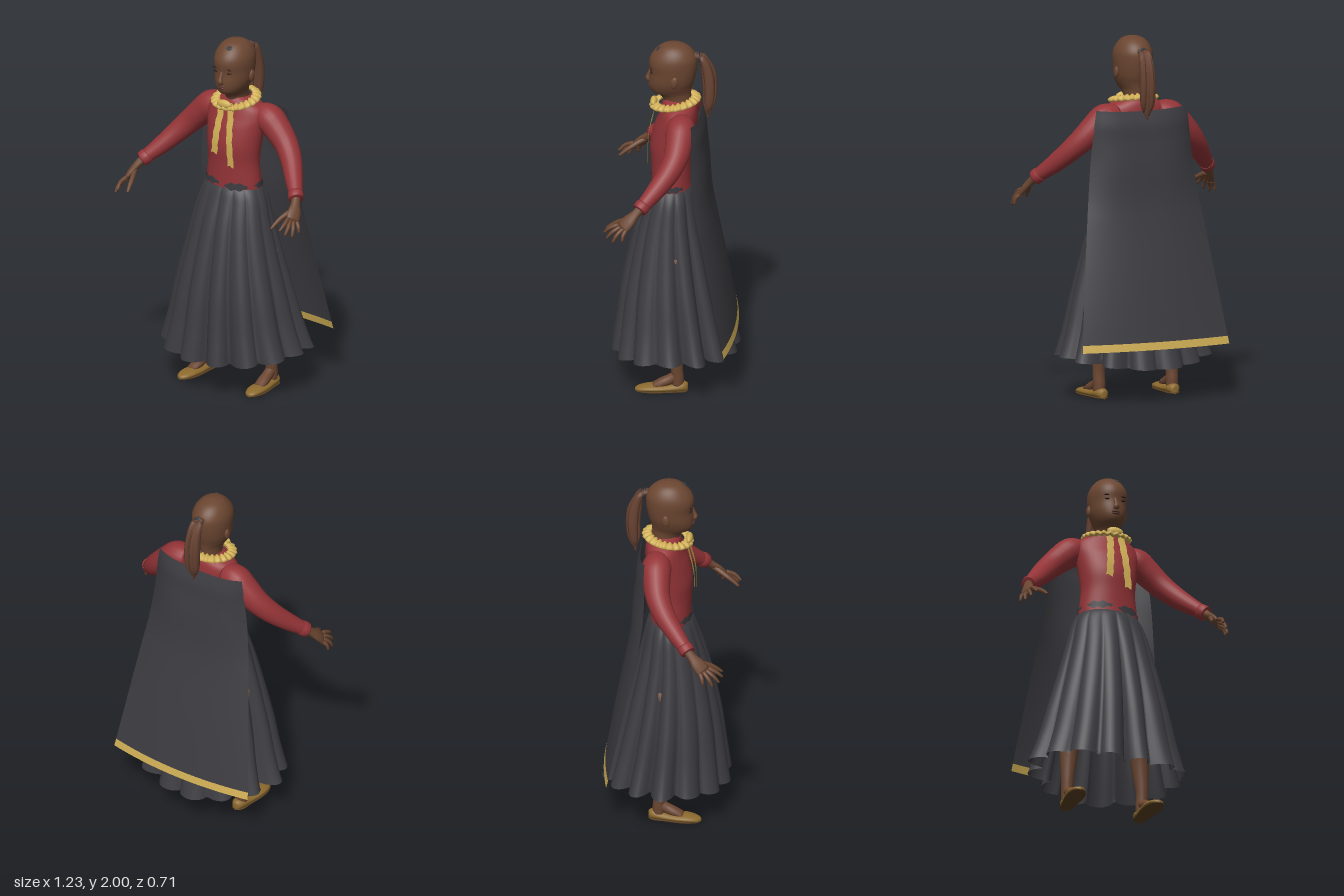
import * as THREE from 'three';

const { sin, cos, PI, abs, pow, min, max, floor } = Math;

// smooth interpolation through the rows of a small table
function sample(rows, t) {
  const p = t * (rows.length - 1), i = min(floor(p), rows.length - 2), f = p - i;
  const at = k => rows[min(max(k, 0), rows.length - 1)];
  return rows[0].map((_, c) => {
    const [a, b, d, e] = [i - 1, i, i + 1, i + 2].map(k => at(k)[c]);
    return b + 0.5 * f * (d - a + f * (2 * a - 5 * b + 4 * d - e + f * (3 * (b - d) + e - a)));
  });
}

// grid surface from f(u, v) -> [x, y, z]; u wraps around when closed
function surface(f, nu, nv, closed = true) {
  const pos = [], idx = [], cols = closed ? nu : nu + 1;
  for (let j = 0; j <= nv; j++) for (let i = 0; i < cols; i++) pos.push(...f(i / nu, j / nv));
  for (let j = 0; j < nv; j++) for (let i = 0; i < nu; i++) {
    const a = j * cols + i, b = j * cols + (i + 1) % cols;
    idx.push(a, b, b + cols, a, b + cols, a + cols);
  }
  const g = new THREE.BufferGeometry();
  g.setAttribute('position', new THREE.Float32BufferAttribute(pos, 3));
  g.setIndex(idx);
  g.computeVertexNormals();
  return g;
}

// upright body from rows [y, halfWidth, zFront, zBack]
const stack = (rows, nu, nv) => surface((u, v) => {
  const [y, rx, zf, zb] = sample(rows, v), a = u * 2 * PI;
  return [rx * sin(a), y, (zf + zb) / 2 + (zf - zb) / 2 * cos(a)];
}, nu, nv);

// limb along rows [x, y, z, radius, radiusAcross], closed at both ends
function tube(rows, nu = 12, nv = 16, ref = [0, 0, 1]) {
  const full = rows.map(r => r.length < 5 ? [...r, r[3]] : r);
  const point = t => new THREE.Vector3(...sample(full, min(max(t, 0), 1)).slice(0, 3));
  return surface((u, v) => {
    const t = min(max((v * nv - 1) / (nv - 2), 0), 1), s = sample(full, t);
    const end = v === 0 || v === 1 ? 0 : 1, a = u * 2 * PI;
    const D = point(t + 0.02).sub(point(t - 0.02)).normalize();
    const U = new THREE.Vector3(...ref);
    U.addScaledVector(D, -U.dot(D)).normalize();
    const V = D.clone().cross(U);
    return point(t).addScaledVector(U, end * s[3] * cos(a)).addScaledVector(V, end * s[4] * sin(a)).toArray();
  }, nu, nv);
}

export function createModel() {
  const model = new THREE.Group();
  const mat = (name, color, side = THREE.FrontSide) => {
    const m = new THREE.MeshStandardMaterial({ color, side });
    m.name = name;
    return m;
  };
  const skin = mat('brown skin', 0x6b4631), dark = mat('dark features', 0x2a1c17);
  const lip = mat('lip brown', 0x57332a), hair = mat('hair brown', 0x684332);
  const red = mat('red cloth', 0x943437), grey = mat('charcoal cloth', 0x3d3c41, THREE.DoubleSide);
  const gold = mat('gold trim', 0xcfae55, THREE.DoubleSide), shoe = mat('shoe ochre', 0x8c6a2e);
  const sole = mat('sole brown', 0x5a3f22);
  const add = (name, geo, material) => {
    const m = new THREE.Mesh(geo, material);
    m.name = name;
    model.add(m);
    return m;
  };
  const blob = (name, material, p, s, rx = 0, rz = 0) => {
    const m = add(name, new THREE.SphereGeometry(1, 16, 12), material);
    m.position.set(...p);
    m.scale.set(...s);
    m.rotation.set(rx, 0, rz);
  };

  // head, neck and face
  add('head', stack([[1.6, .06, .055, -.085], [1.66, .055, .065, -.085], [1.692, .06, .09, -.086],
    [1.71, .068, .127, -.088], [1.74, .084, .142, -.093], [1.78, .098, .143, -.106], [1.83, .104, .139, -.117],
    [1.88, .107, .145, -.122], [1.92, .102, .135, -.118], [1.96, .082, .105, -.092],
    [1.988, .05, .066, -.05], [2, 0, .01, .01]], 40, 44), skin);
  add('nose', tube([[0, 1.84, .132, .009], [0, 1.805, .146, .011], [0, 1.784, .15, .015, .017], [0, 1.772, .142, .012, .016]]), skin);
  blob('upperLip', lip, [0, 1.757, .141], [.025, .006, .008]);
  blob('lowerLip', lip, [0, 1.746, .14], [.022, .007, .009]);
  blob('scalpPatch', grey, [.012, 1.968, .09], [.028, .005, .016], .65, .1);
  for (const s of [-1, 1]) {
    blob('eye', dark, [s * .043, 1.834, .127], [.017, .006, .006]);
    blob('eyebrow', dark, [s * .045, 1.857, .13], [.021, .004, .005], 0, -s * .1);
    blob('ear', skin, [s * .105, 1.8, -.002], [.012, .034, .021], -.15);
  }

  // ponytail of overlapping strands, tied with a band
  for (let i = -2; i <= 2; i++) {
    const x = i * .013, d = (i % 2) * .012;
    add('ponytailStrand', tube([[x * .4, 1.925, -.1, .014], [x * .7, 1.915, -.15, .018], [x, 1.83, -.182 + d, .027, .016],
      [x * 1.1, 1.73, -.192 + d, .028, .016], [x, 1.64, -.186 + d, .022, .013],
      [x * .7, 1.555 + abs(i) * .02, -.178, .005]], 8, 18, [0, .3, 1]), hair);
  }
  const band = add('hairBand', new THREE.TorusGeometry(.022, .008, 8, 16), grey);
  band.position.set(0, 1.918, -.132);
  band.rotation.x = .2;

  // bodice
  add('bodice', stack([[1.12, .172, .132, -.102], [1.2, .166, .13, -.092], [1.3, .155, .133, -.095], [1.4, .163, .138, -.108],
    [1.5, .176, .117, -.12], [1.56, .185, .094, -.124], [1.61, .17, .078, -.12],
    [1.645, .12, .07, -.11], [1.67, .07, .055, -.088]], 40, 36), red);

  // ragged waistband pieces lying on the bodice
  for (const [a0, a1, y0, y1] of [[-1, -.1, 1.17, 1.208], [.1, .95, 1.155, 1.198], [1.25, 2.2, 1.165, 1.2], [-2.3, -1.3, 1.165, 1.2]])
    add('waistband', surface((u, v) => {
      const a = a0 + (a1 - a0) * u, taper = pow(sin(PI * u), .4);
      const y = (y0 + y1) / 2 + (v - .5) * (y1 - y0) * taper + .005 * sin(u * 17 + v * 3);
      return [.174 * sin(a), y, .018 + .119 * cos(a)];
    }, 20, 2, false), grey);

  // pleated skirt: narrow folds deepen toward the hem
  const skirtRows = [[1.175, .155, .12, -.088], [1.14, .185, .147, -.112], [1.08, .214, .172, -.13], [.95, .25, .217, -.16],
    [.75, .305, .268, -.21], [.55, .36, .31, -.262], [.36, .408, .338, -.312], [.185, .462, .366, -.362]];
  add('skirt', surface((u, v) => {
    const a = u * 2 * PI, [y, rx, zf, zb] = sample(skirtRows, v);
    const fold = 1 - pow(abs(sin(7 * a + .25 * sin(2 * a))), .65);
    const k = 1 - fold * v * (.2 + .08 * sin(3 * a + 1)) - .02 * v * (1 + sin(5 * a + .6));
    return [rx * k * sin(a), y + .05 * pow(v, 6) * sin(a) * sin(a), (zf + zb) / 2 + (zf - zb) / 2 * k * cos(a)];
  }, 168, 30), grey);

  // cape with a gold hem, rows [y, halfWidth, zEdge, zMiddle]
  const capeRows = [[1.61, .272, -.105, -.142], [1.53, .284, -.108, -.164], [1.44, .294, -.106, -.172], [1.31, .309, -.107, -.186],
    [1.13, .33, -.128, -.198], [.97, .353, -.16, -.222], [.65, .397, -.225, -.283], [.34, .438, -.29, -.336]];
  const hemRows = [[.34, .438, -.29, -.336], [.298, .443, -.3, -.345]];
  const cape = (rows, p0, p1, nv) => surface((u, v) => {
    const [y, w, ze, zm] = sample(rows, v), q = 2 * u - 1;
    return [w * q, y - .012 * (1 - q * q) * (p0 > p1 ? 1 - v : 0), zm + (ze - zm) * pow(abs(q), p0 + (p1 - p0) * v)];
  }, 32, nv, false);
  add('cape', cape(capeRows, 4, 2, 36), grey);
  add('capeHem', cape(hemRows, 2, 2, 1), gold);

  // ruffled collar, knot and hanging ties
  add('collar', surface((u, v) => {
    const a = v * 2 * PI, b = u * 2 * PI, ripple = sin(22 * a);
    const r = .113 + (.024 + .004 * ripple) * cos(b);
    return [r * sin(a), 1.652 - .022 * cos(a) + .014 * sin(b) - .28 * (r - .113) + .004 * ripple, r * 1.03 * cos(a)];
  }, 10, 176), gold);
  blob('collarKnot', gold, [.005, 1.645, .118], [.048, .026, .02]);
  for (const [x0, x1, y1] of [[-.018, -.04, 1.36], [.04, .072, 1.3]])
    add('collarTie', surface((u, v) => {
      const y = 1.65 + (y1 - 1.65) * v;
      const z = sample([[.149], [.15], [.148], [.136], [.118], [.105]], min(max((y - 1.3) / .35, 0), 1))[0];
      return [x0 + (x1 - x0) * v + (u - .5) * .04 + .002 * sin(v * 30), y + .006 * sin(u * 5) * v, z];
    }, 4, 24, false), gold);

  // arms, hands, legs and shoes
  for (const s of [-1, 1]) {
    const side = rows => rows.map(([x, ...rest]) => [s * x, ...rest]);
    add('sleeve', tube(side([[.12, 1.565, -.045, .065], [.19, 1.555, -.045, .082], [.25, 1.508, -.04, .077], [.32, 1.44, -.025, .068],
      [.385, 1.37, .015, .06], [.45, 1.295, .08, .05], [.52, 1.222, .155, .036]]), 20, 28), red);
    add('cuff', tube(side([[.5, 1.243, .134, .041], [.512, 1.23, .147, .044], [.526, 1.216, .161, .04]]), 18, 8), red);

    add('palm', tube(side([[.51, 1.235, .142, .026], [.535, 1.195, .182, .027, .022], [.553, 1.16, .218, .039, .018],
      [.565, 1.125, .248, .038, .014]]), 12, 12, [-s * .45, .2, .8]), skin);
    [[.55, 1.14, .272, .55, 1.09, .352], [.558, 1.128, .262, .575, 1.066, .335], [.566, 1.12, .246, .597, 1.052, .3],
      [.574, 1.118, .226, .606, 1.062, .248]].forEach(([x, y, z, X, Y, Z]) =>
      add('finger', tube(side([[x, y, z, .012], [(x + X) / 2 + .008, (y + Y) / 2 + .006, (z + Z) / 2 + .006, .011],
        [X, Y, Z, .007]]), 8, 8), skin));
    add('thumb', tube(side([[.54, 1.175, .2, .016], [.51, 1.14, .27, .014], [.498, 1.115, .31, .012], [.487, 1.088, .345, .007]]), 8, 10), skin);

    add('leg', tube(side([[.19, .8, 0, .075], [.2, .5, -.01, .06], [.21, .32, -.028, .05], [.22, .16, -.025, .035],
      [.22, .08, -.03, .034], [.22, .04, -.03, .033]]), 16, 24), skin);
    add('foot', tube(side([[.22, .1, -.035, .03], [.221, .07, .01, .03], [.225, .05, .06, .026, .034], [.23, .036, .105, .014, .03]]), 14, 12, [0, 1, 0]), skin);
    // rows [z, halfWidth, height]
    const shoeRows = [[-.086, 0, .035], [-.083, .02, .05], [-.055, .037, .058], [0, .041, .046], [.07, .05, .043],
      [.13, .05, .042], [.18, .036, .032], [.202, .015, .022], [.206, 0, .016]];
    const footwear = (wide, tall) => surface((u, v) => {
      const [z, w, h] = sample(shoeRows, v), a = u * 2 * PI;
      return [s * (.22 + .06 * z) + max(w, 0) * wide * cos(a), tall(h) * (.5 + .5 * sin(a)), z];
    }, 20, 24);
    add('shoe', footwear(1, h => h), shoe);
    add('shoeSole', footwear(1.03, () => .012), sole);
  }
  return model;
}
